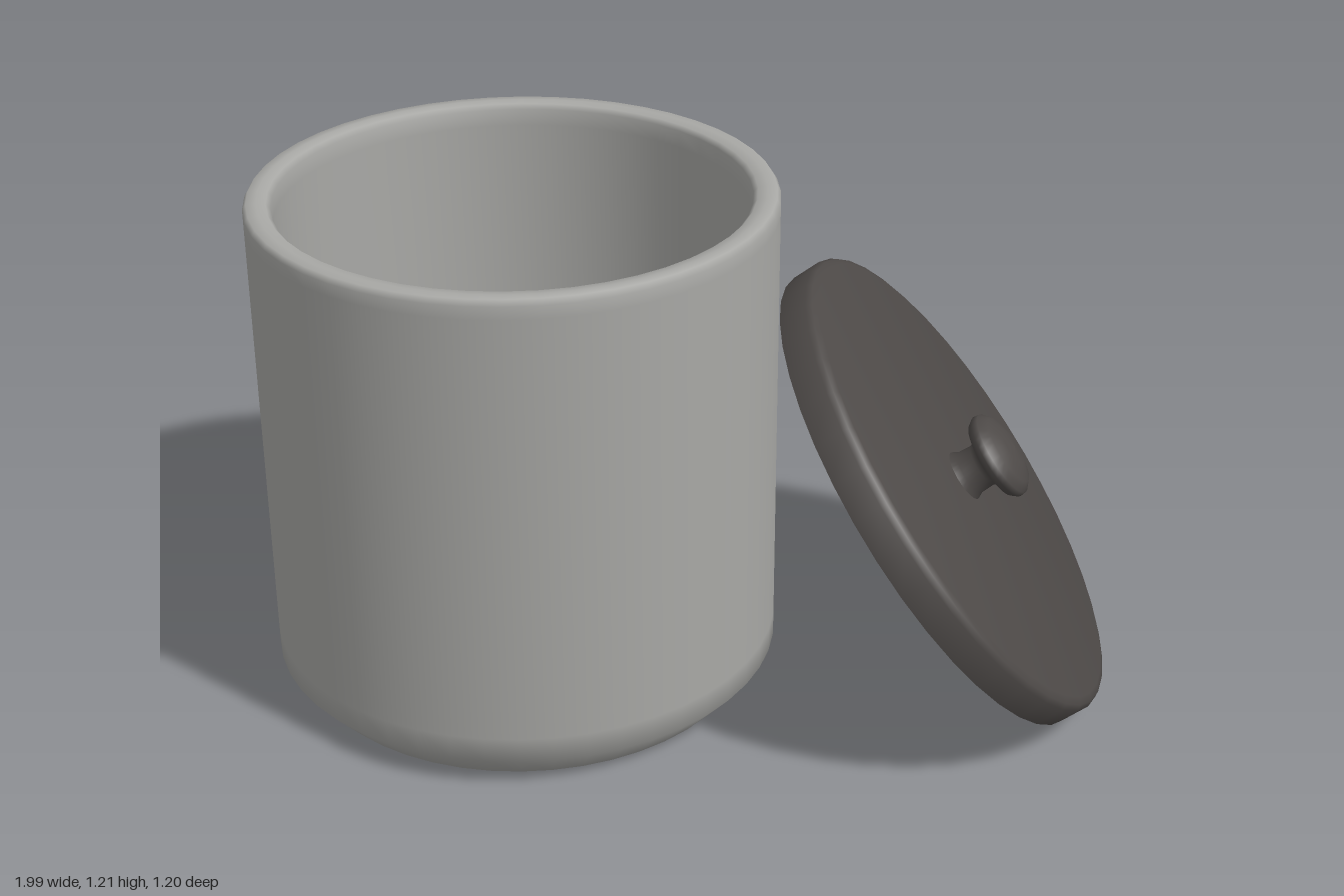
import * as THREE from 'three';
import { mergeVertices, toCreasedNormals } from 'three/addons/utils/BufferGeometryUtils.js';

const vecs = (list) => list.map(([x, y]) => new THREE.Vector2(x, y));

export function createModel() {
  const model = new THREE.Group();
  model.name = 'cookieJar';

  const glaze = new THREE.MeshStandardMaterial({ name: 'light grey ceramic', color: 0xa8a8a5 });
  const dark = new THREE.MeshStandardMaterial({ name: 'dark brown lid', color: 0x4d4947 });

  const add = (parent, name, geometry, material) => {
    const mesh = new THREE.Mesh(geometry, material);
    mesh.name = name;
    parent.add(mesh);
    return mesh;
  };

  // Jar: recessed foot, chamfered base, rounded rim, hollow inside
  const jar = new THREE.Group();
  jar.name = 'jar';
  jar.position.x = -0.4;
  model.add(jar);
  add(jar, 'jarBody', new THREE.LatheGeometry(vecs([
    [0, 0.035], [0.43, 0.045], [0.455, 0.02], [0.49, 0.008], [0.535, 0.008],
    [0.6, 0.08], [0.6, 0.14], [0.6, 1.17], [0.6, 1.2], [0.592, 1.213],
    [0.57, 1.214], [0.548, 1.211], [0.538, 1.2], [0.537, 1.16], [0.535, 0.16],
    [0.52, 0.1], [0.48, 0.09], [0, 0.09],
  ]), 48), glaze);

  // Biscuits: lobed slabs, sheared in height so that they lie at a slant
  const biscuits = new THREE.Group();
  biscuits.name = 'biscuits';
  jar.add(biscuits);

  function slab(name, outline, top, thick, slopeX, slopeZ) {
    const curve = new THREE.SplineCurve(vecs([...outline, outline[0]]));
    const bevel = 0.05;
    let geo = new THREE.ExtrudeGeometry(new THREE.Shape(curve.getPoints(64)), {
      depth: thick - 2 * bevel, bevelEnabled: true, bevelThickness: bevel,
      bevelSize: bevel, bevelOffset: -bevel, bevelSegments: 5,
    });
    geo.rotateX(Math.PI / 2);
    geo.translate(0, top - bevel, 0);
    const p = geo.attributes.position;
    for (let i = 0; i < p.count; i++) {
      p.setY(i, p.getY(i) + slopeX * p.getX(i) + slopeZ * p.getZ(i));
    }
    geo.deleteAttribute('uv');
    geo.deleteAttribute('normal');
    geo = toCreasedNormals(mergeVertices(geo, 1e-4), 0.9);
    add(biscuits, name, geo, glaze);
  }

  function bar(name, a, b, radius) {
    const from = new THREE.Vector3(...a), to = new THREE.Vector3(...b);
    const dir = to.clone().sub(from);
    const mesh = add(biscuits, name, new THREE.CapsuleGeometry(radius, dir.length(), 8, 20), glaze);
    mesh.position.copy(from).add(to).multiplyScalar(0.5);
    mesh.quaternion.setFromUnitVectors(new THREE.Vector3(0, 1, 0), dir.normalize());
  }

  slab('lowerBiscuit', [
    [0, 0.14], [0.2, 0.12], [0.28, 0.2], [0.325, 0.35], [0.28, 0.41], [0.2, 0.4],
    [0.18, 0.47], [0.1, 0.485], [0.03, 0.445], [-0.07, 0.48], [-0.14, 0.44], [-0.02, 0.36],
  ], 0.28, 0.15, 0.1, -0.05);
  slab('sideBiscuit', [
    [-0.4, 0], [-0.1, 0], [0.015, 0.2], [-0.005, 0.38], [-0.06, 0.44], [-0.13, 0.425],
    [-0.2, 0.465], [-0.28, 0.42], [-0.3, 0.325], [-0.4, 0.33], [-0.47, 0.27], [-0.48, 0.16],
  ], 0.4, 0.18, 0.15, -0.2);
  slab('largeBiscuit', [
    [-0.27, -0.32], [-0.19, -0.45], [0, -0.51], [0.15, -0.48], [0.235, -0.46],
    [0.27, -0.41], [0.31, -0.36], [0.325, -0.29], [0.345, -0.21], [0.28, -0.05],
    [0.17, 0.02], [0, -0.02], [-0.22, -0.18],
  ], 0.45, 0.2, -0.1, 0.12);
  bar('rightBiscuit', [0.32, 0.33, -0.01], [0.14, 0.3, 0.13], 0.085);
  bar('topBiscuit', [-0.31, 0.44, -0.165], [0.115, 0.46, 0.11], 0.095);

  // Lid leaning against the jar, built flat and then tilted
  const lid = new THREE.Group();
  lid.name = 'lid';
  lid.position.set(0.567, 0.487, 0);
  lid.rotation.z = -0.921;
  model.add(lid);
  add(lid, 'lidPlate', toCreasedNormals(new THREE.LatheGeometry(vecs([
    [0, 0], [0.6, 0], [0.6, 0.07], [0.592, 0.083], [0.575, 0.09], [0, 0.09],
  ]), 40), 0.7), dark);
  add(lid, 'lidKnob', new THREE.LatheGeometry(vecs([
    [0.065, 0.085], [0.054, 0.105], [0.052, 0.14], [0.06, 0.155], [0.095, 0.165],
    [0.106, 0.18], [0.104, 0.195], [0.085, 0.212], [0.045, 0.225], [0, 0.229],
  ]), 32), dark);

  return model;
}
